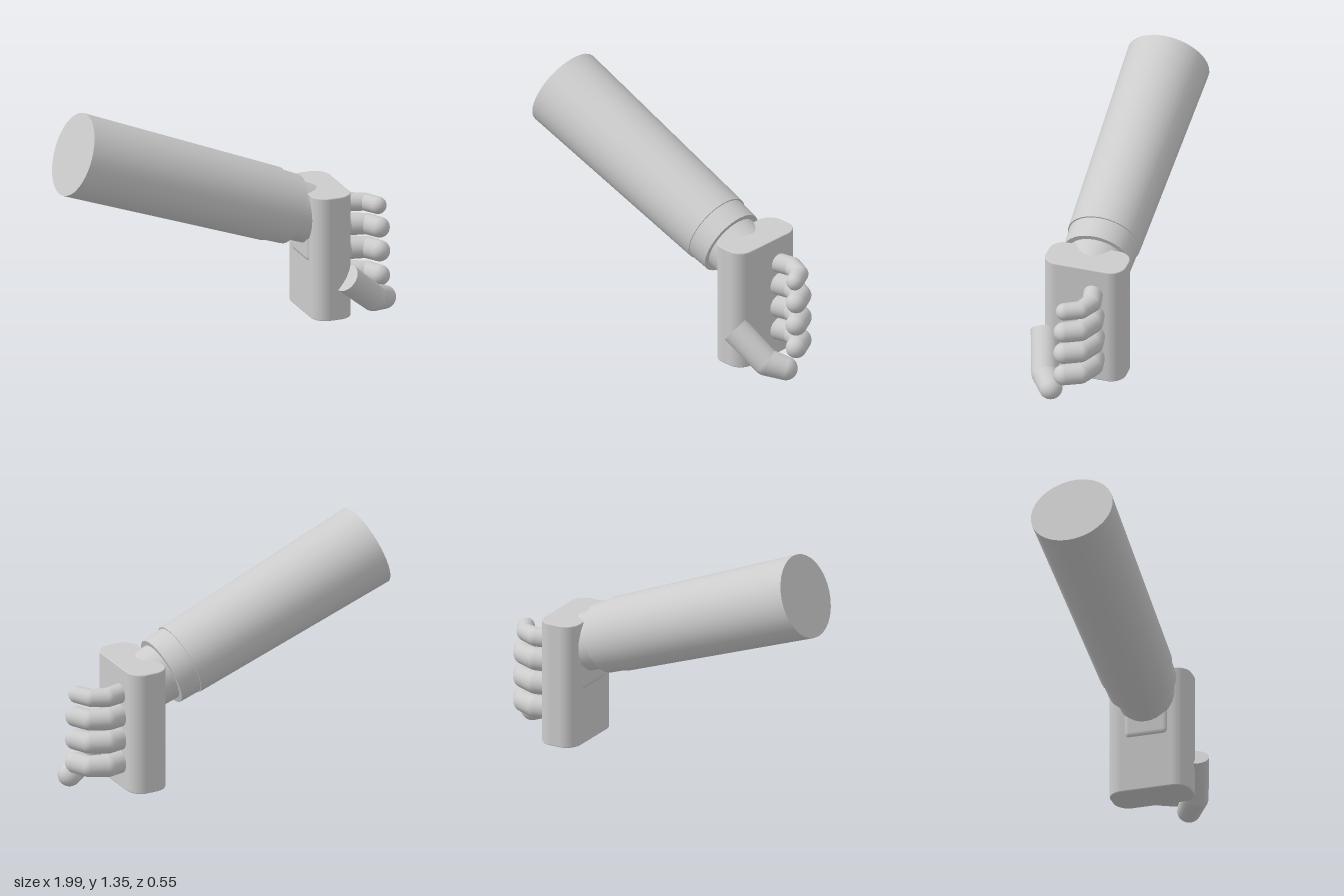
import * as THREE from 'three';
import { RoundedBoxGeometry } from 'three/addons/geometries/RoundedBoxGeometry.js';

const material = new THREE.MeshStandardMaterial({ color: 0xcccccc });
const V = (x, y, z) => new THREE.Vector3(x, y, z);

function part(name, geometry) {
  const mesh = new THREE.Mesh(geometry, material);
  mesh.name = name;
  return mesh;
}

// Tapered cylinder running from point a (radius ra) to point b (radius rb)
function limb(name, a, b, ra, rb, sides = 24) {
  const dir = b.clone().sub(a);
  const mesh = part(name, new THREE.CylinderGeometry(rb, ra, dir.length(), sides));
  mesh.position.copy(a).addScaledVector(dir, 0.5);
  mesh.quaternion.setFromUnitVectors(V(0, 1, 0), dir.normalize());
  return mesh;
}

// Chain of tapered segments with a ball at every joint after the first
function digit(name, points, radii) {
  const group = new THREE.Group();
  group.name = name;
  for (let i = 1; i < points.length; i++) {
    group.add(limb('segment', points[i - 1], points[i], radii[i - 1], radii[i]));
    const ball = part(i === points.length - 1 ? 'tip' : 'joint', new THREE.SphereGeometry(radii[i], 24, 16));
    ball.position.copy(points[i]);
    group.add(ball);
  }
  return group;
}

// Palm block: rounded rectangle in plan, extruded upward
function palmGeometry() {
  const w = 0.117, d = 0.237, r = 0.088;
  const s = new THREE.Shape();
  s.moveTo(-w + r, -d);
  s.lineTo(w - r, -d);
  s.absarc(w - r, -d + r, r, -Math.PI / 2, 0);
  s.absarc(w - r, d - r, r, 0, Math.PI / 2);
  s.absarc(-w + r, d - r, r, Math.PI / 2, Math.PI);
  s.absarc(-w + r, -d + r, r, Math.PI, Math.PI * 1.5);
  const g = new THREE.ExtrudeGeometry(s, {
    depth: 0.718, bevelEnabled: true, bevelThickness: 0.006, bevelSize: 0.006,
    bevelOffset: -0.006, bevelSegments: 2, curveSegments: 10,
  });
  g.rotateX(-Math.PI / 2);
  return g;
}

export function createModel() {
  const model = new THREE.Group();
  model.name = 'gripping arm';
  const z = -0.028;

  // Forearm, cuff and wrist share one sloping axis
  model.add(limb('forearm', V(-0.912, 1.133, z), V(0.28, 0.68, z), 0.24, 0.212, 32));
  model.add(limb('cuff', V(0.2, 0.709, z), V(0.396, 0.633, z), 0.208, 0.2, 32));
  model.add(limb('wrist', V(0.36, 0.647, z), V(0.58, 0.562, z), 0.172, 0.164, 32));

  // Palm and the thin plate on its back
  const palm = part('palm', palmGeometry());
  palm.position.set(0.582, 0.026, z);
  model.add(palm);
  const plate = part('backPlate', new RoundedBoxGeometry(0.08, 0.34, 0.27, 4, 0.035));
  plate.position.set(0.495, 0.51, z);
  model.add(plate);

  // Four curled fingers
  const fingers = [
    ['littleFinger', 0.592, 0.053, 0.92],
    ['ringFinger', 0.46, 0.063, 0.93],
    ['middleFinger', 0.32, 0.065, 0.93],
    ['indexFinger', 0.175, 0.064, 0.93],
  ];
  for (const [name, y, r, tipX] of fingers) {
    const path = [V(0.66, y, -0.09), V(0.785, y, -0.118), V(tipX - 0.045, y, -0.083), V(tipX, y, 0)];
    model.add(digit(name, path, [r * 1.06, r * 1.03, r * 0.95, r * 0.93]));
  }

  // Thumb, crossing forward below the fingers
  model.add(digit('thumb',
    [V(0.647, 0.262, 0.2), V(0.835, 0.102, 0.142), V(0.925, 0.072, 0.08)],
    [0.082, 0.078, 0.068]));

  return model;
}
